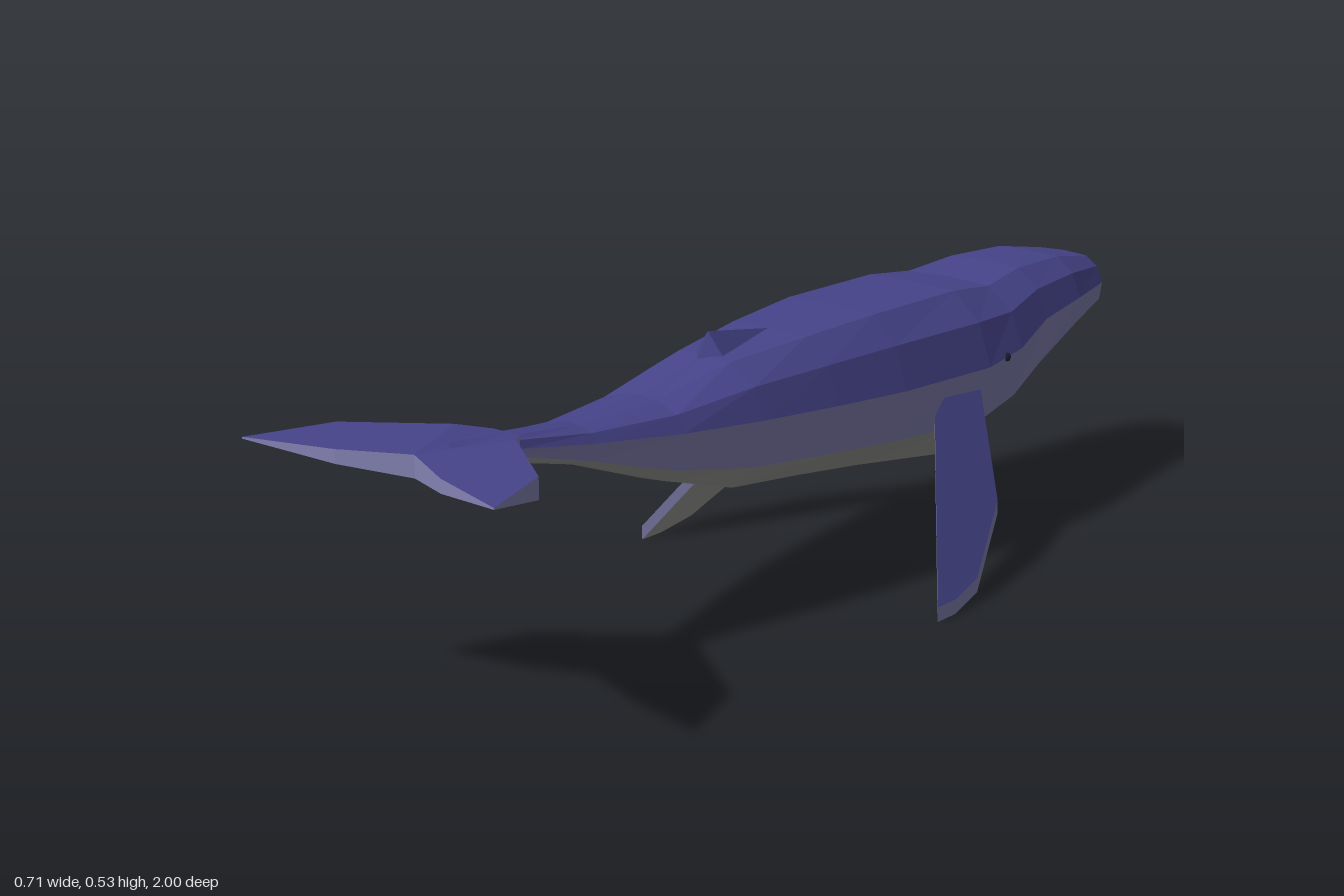
import * as THREE from 'three';

const material = (name, color) => {
  const m = new THREE.MeshStandardMaterial({ color });
  m.name = name;
  return m;
};

// Faces are listed for the +x half; the -x half is added by mirroring.
function facetedMesh(name, mat, faces) {
  const pos = [];
  const add = (a, b, c) => pos.push(...a, ...b, ...c);
  const flip = ([x, y, z]) => [-x, y, z];
  for (const face of faces) {
    for (let i = 1; i < face.length - 1; i++) {
      const [a, b, c] = [face[0], face[i], face[i + 1]];
      add(a, b, c);
      add(flip(a), flip(c), flip(b));
    }
  }
  const geo = new THREE.BufferGeometry();
  geo.setAttribute('position', new THREE.Float32BufferAttribute(pos, 3));
  geo.computeVertexNormals();
  const mesh = new THREE.Mesh(geo, mat);
  mesh.name = name;
  return mesh;
}

// Slab between matching top and bottom outlines, with a rim of its own colour.
function slab(name, top, bottom, mats, closed) {
  const rim = [];
  const n = closed ? top.length : top.length - 1;
  for (let i = 0; i < n; i++) {
    const j = (i + 1) % top.length;
    rim.push([top[i], bottom[i], bottom[j], top[j]]);
  }
  const g = new THREE.Group();
  g.name = name;
  g.add(
    facetedMesh(name + 'Top', mats.blue, [top]),
    facetedMesh(name + 'Rim', mats.lavender, rim),
    facetedMesh(name + 'Underside', mats.grey, [[bottom[0], ...bottom.slice(1).reverse()]]),
  );
  return g;
}

// Snout to tail: z, back height, back half-width, half-width, its height,
// flank's lower edge height, belly height
const STATIONS = [
  [-1, .435, .03, .05, .415, .4, .39],
  [-.95, .463, .055, .095, .41, .375, .36],
  [-.82, .488, .07, .128, .41, .355, .31],
  [-.67, .495, .08, .15, .4, .31, .25],
  [-.55, .485, .095, .177, .372, .275, .205],
  [-.43, .5, .1, .188, .362, .255, .16],
  [-.18, .505, .1, .178, .37, .27, .2],
  [0, .498, .085, .16, .38, .285, .225],
  [.18, .486, .06, .135, .39, .3, .247],
  [.35, .452, .035, .1, .4, .33, .3],
  [.53, .446, .02, .06, .418, .385, .37],
  [.68, .464, .015, .033, .44, .425, .41],
  [.82, .477, .008, .018, .46, .45, .44],
];

// Half ring from the middle of the back, round the flank, to the middle of the belly
const halfRing = ([z, top, backX, wideX, wideY, lowY, bottom]) => [
  [0, top, z],
  [backX, top - .003, z],
  [wideX * .85, wideY + (top - wideY) * .6, z],
  [wideX, wideY, z],
  [wideX * (.86 - .08 * z), lowY, z],
  [Math.min(.063, wideX * .5), bottom + .005, z],
  [0, bottom, z],
];

export function createModel() {
  const model = new THREE.Group();
  model.name = 'whale';
  const mats = {
    blue: material('deepBlue', 0x46448a),
    lavender: material('paleLavender', 0x8583b4),
    grey: material('bellyGrey', 0x9e9e9c),
    dark: material('eyeDark', 0x1c1c2a),
  };

  // Body: blue back, lavender flanks, grey belly, each closed at the snout
  const rings = STATIONS.map(halfRing);
  const band = (from, to) => {
    const faces = [];
    for (let k = from; k < to; k++) {
      faces.push([[0, .413, -1], rings[0][k], rings[0][k + 1]]);
      for (let i = 0; i < rings.length - 1; i++) {
        faces.push([rings[i][k], rings[i + 1][k], rings[i + 1][k + 1], rings[i][k + 1]]);
      }
    }
    return faces;
  };
  model.add(
    facetedMesh('back', mats.blue, band(0, 3)),
    facetedMesh('flanks', mats.lavender, band(3, 4)),
    facetedMesh('belly', mats.grey, band(4, 6)),
  );

  // Dorsal fin
  const finFront = [0, .497, 0], finTip = [0, .527, .17];
  const finSide = [.036, .478, .165], finHeel = [0, .48, .2];
  model.add(facetedMesh('dorsalFin', mats.blue, [
    [finFront, finTip, finSide],
    [finTip, finHeel, finSide],
  ]));

  // Flippers: flat blades sloping down and outward
  const blade = [[.172, -.31], [.188, -.255], [.355, -.045], [.355, -.1],
    [.345, -.18], [.285, -.325], [.17, -.42]];
  const bladeTop = blade.map(([x, z]) => [x, .32 - 1.66 * (x - .18), z]);
  const bladeBottom = bladeTop.map(([x, y, z]) => [x, Math.max(0, y - .028), z]);
  model.add(slab('flippers', bladeTop, bladeBottom, mats, true));

  // Tail flukes: x, z, underside height
  const fluke = [[0, .89, .435], [.12, .95, .45], [.285, 1, .472], [.23, .845, .436],
    [.07, .73, .412], [.03, .68, .415], [0, .68, .41]];
  const flukeTop = fluke.map(([x, z]) => [x, z < .7 ? .463 : .475, z]);
  const flukeBottom = fluke.map(([x, z, y]) => [x, y, z]);
  model.add(slab('tailFlukes', flukeTop, flukeBottom, mats, false));

  // Eyes
  for (const side of [-1, 1]) {
    const eye = new THREE.Mesh(new THREE.SphereGeometry(.009, 6, 4), mats.dark);
    eye.name = side > 0 ? 'leftEye' : 'rightEye';
    eye.position.set(side * .18, .367, -.495);
    model.add(eye);
  }
  return model;
}
